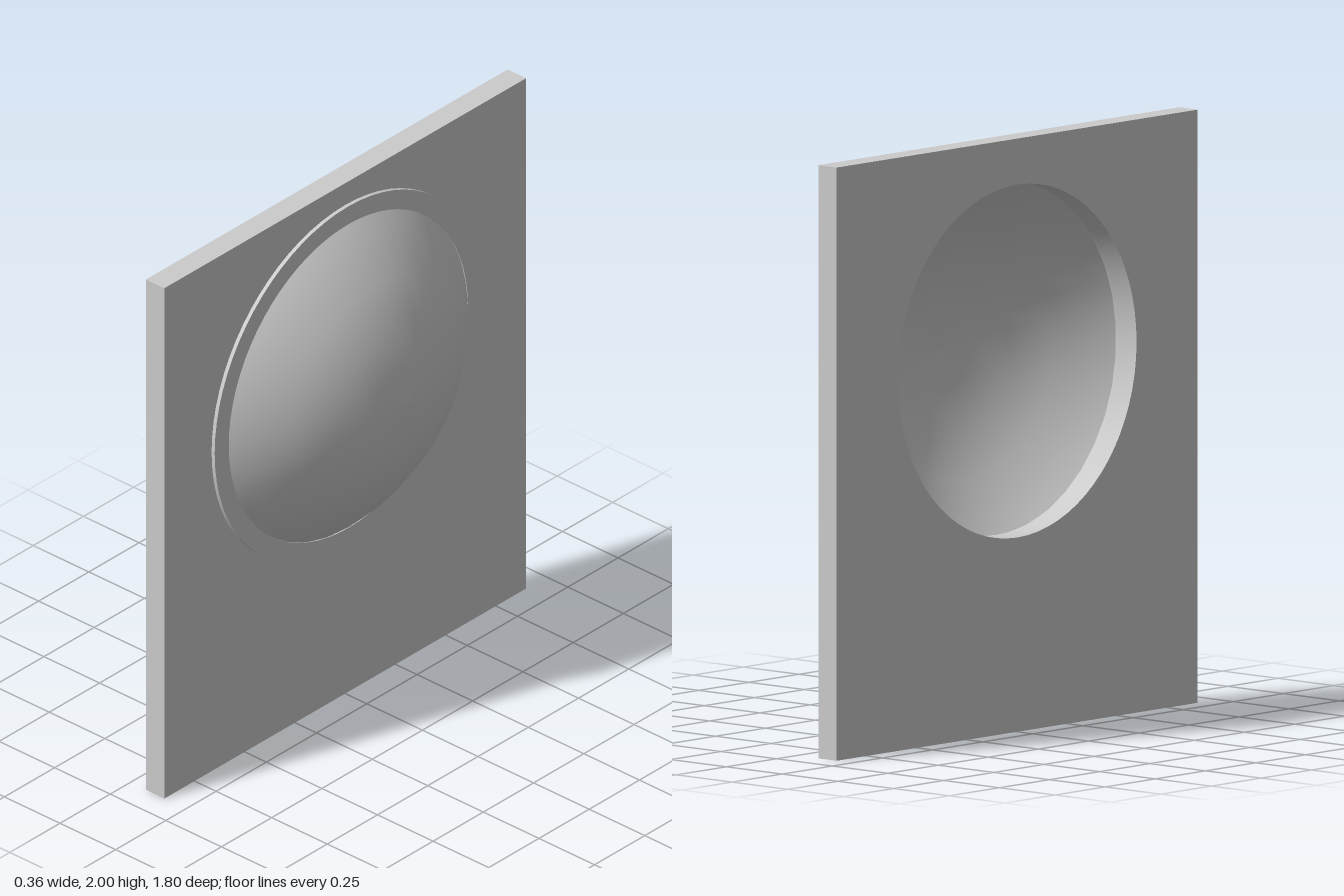
import * as THREE from 'three';
import { toCreasedNormals } from 'three/addons/utils/BufferGeometryUtils.js';

const CENTRE_Y = 1.25;      // height of the dome axis
const BORE = 0.595;         // radius of the opening
const SEGMENTS = 36;
const PLATE_BACK = -0.18, PLATE_FRONT = -0.097, RING_FRONT = -0.083;

export function createModel() {
  const model = new THREE.Group();
  const material = new THREE.MeshStandardMaterial({ color: 0xcccccc, side: THREE.DoubleSide });

  const add = (name, geometry) => {
    const mesh = new THREE.Mesh(geometry, material);
    mesh.name = name;
    model.add(mesh);
    return mesh;
  };

  // Slab between two x positions with the round opening cut through it
  const piercedSlab = (shape, x0, x1) => {
    shape.holes.push(new THREE.Path().absarc(0, CENTRE_Y, BORE, 0, Math.PI * 2, true));
    const geometry = new THREE.ExtrudeGeometry(shape, {
      depth: x1 - x0, bevelEnabled: false, curveSegments: SEGMENTS,
    });
    geometry.rotateY(Math.PI / 2).translate(x0, 0, 0);
    return toCreasedNormals(geometry, Math.PI / 6);
  };

  // Upright rectangular plate
  const panel = new THREE.Shape([
    new THREE.Vector2(-0.9, 0), new THREE.Vector2(0.9, 0),
    new THREE.Vector2(0.9, 2), new THREE.Vector2(-0.9, 2),
  ]);
  add('plate', piercedSlab(panel, PLATE_BACK, PLATE_FRONT));

  // Thin flange around the opening
  const disc = new THREE.Shape().absarc(0, CENTRE_Y, 0.665, 0, Math.PI * 2, false);
  add('flange', piercedSlab(disc, PLATE_FRONT, RING_FRONT));

  // Hollow spherical cap, open at the back
  const radius = 0.8, apex = 0.18;
  const angles = [48.9, 43, 32.3, 21.6, 10.8, 0];
  const profile = angles.map((deg) => {
    const a = THREE.MathUtils.degToRad(deg);
    return new THREE.Vector2(radius * Math.sin(a), apex - radius + radius * Math.cos(a));
  });
  const dome = add('dome', new THREE.LatheGeometry(profile, SEGMENTS));
  dome.rotation.z = -Math.PI / 2;
  dome.position.y = CENTRE_Y;

  return model;
}
